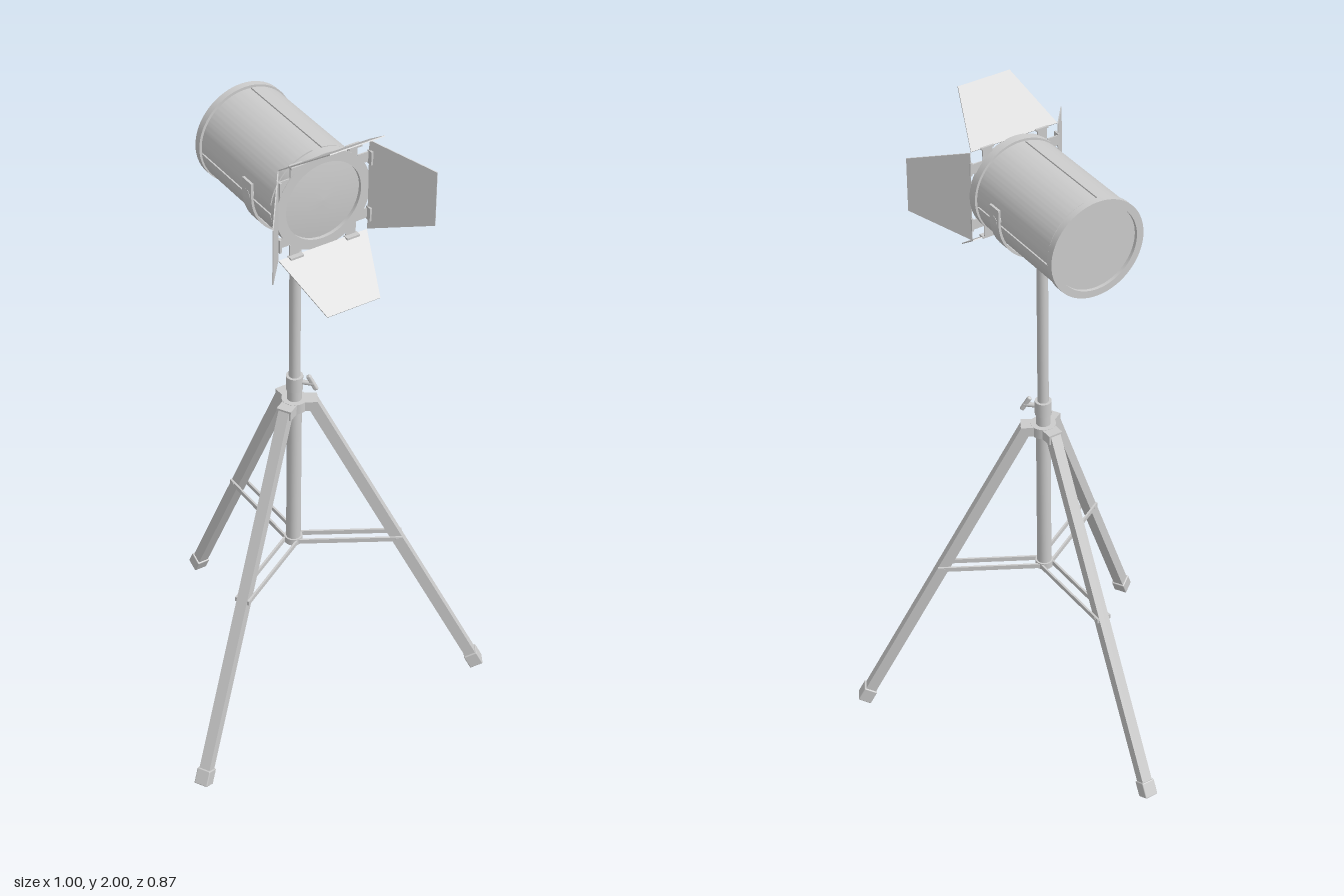
import * as THREE from 'three';
import { toCreasedNormals } from 'three/addons/utils/BufferGeometryUtils.js';
import { RoundedBoxGeometry } from 'three/addons/geometries/RoundedBoxGeometry.js';

const POLE_Z = 0.137;
const LAMP_Y = 1.75;
const grey = new THREE.MeshStandardMaterial({ color: 0xcccccc });
const thin = new THREE.MeshStandardMaterial({ color: 0xcccccc, side: THREE.DoubleSide });

function add(parent, name, geometry, x = 0, y = 0, z = 0, material = grey) {
  const mesh = new THREE.Mesh(geometry, material);
  mesh.name = name;
  mesh.position.set(x, y, z);
  parent.add(mesh);
  return mesh;
}

function group(parent, name, x = 0, y = 0, z = 0) {
  const g = new THREE.Group();
  g.name = name;
  g.position.set(x, y, z);
  parent.add(g);
  return g;
}

const extrude = (shape, depth) => toCreasedNormals(
  new THREE.ExtrudeGeometry(shape, { depth, bevelEnabled: false, curveSegments: 24 }), 0.5);

// Upright cylinder between two heights
function tube(parent, name, radius, y0, y1) {
  add(parent, name, new THREE.CylinderGeometry(radius, radius, y1 - y0, 24), 0, (y0 + y1) / 2, 0);
}

function buildStand(parent) {
  const stand = group(parent, 'stand', 0, 0, POLE_Z);
  tube(stand, 'upperPole', 0.016, 1.0, 1.605);
  tube(stand, 'lowerTube', 0.021, 0.51, 1.06);
  tube(stand, 'clampCollar', 0.024, 1.055, 1.1);
  tube(stand, 'hub', 0.036, 0.99, 1.022);
  tube(stand, 'braceCollar', 0.026, 0.505, 0.525);

  // Thumb screw with a wing lever
  const knob = group(stand, 'thumbScrew', 0, 1.08, 0);
  knob.rotation.y = Math.PI / 4;
  add(knob, 'screw', new THREE.CylinderGeometry(0.007, 0.007, 0.05, 12).rotateX(Math.PI / 2), 0, 0, 0.03);
  const wing = add(knob, 'wing', new RoundedBoxGeometry(0.012, 0.052, 0.014, 2, 0.005), 0, 0.003, 0.05);
  wing.rotation.x = -0.5;

  // Three legs, each with hub lug, rubber foot and a pair of brace bars
  const top = new THREE.Vector2(0.05, 1.008), end = new THREE.Vector2(0.549, 0.0095);
  const length = top.distanceTo(end);
  const tilt = Math.atan2(top.x - end.x, top.y - end.y);
  for (const angle of [Math.PI, Math.PI / 3, -Math.PI / 3]) {
    const side = group(stand, 'legAssembly');
    side.rotation.y = angle;
    add(side, 'hubLug', new THREE.BoxGeometry(0.044, 0.03, 0.058), 0, 1.006, 0.035);
    const leg = group(side, 'leg', 0, end.y, end.x);
    leg.rotation.x = tilt;
    add(leg, 'legBar', new THREE.BoxGeometry(0.032, length - 0.01, 0.032), 0, length / 2 + 0.005, 0);
    add(leg, 'foot', new RoundedBoxGeometry(0.041, 0.048, 0.041, 2, 0.003), 0, 0.024, 0);
    for (const s of [-1, 1]) {
      add(side, 'braceBar', new THREE.BoxGeometry(0.006, 0.014, 0.3), s * 0.019, 0.515, 0.162);
    }
    add(side, 'bracePin', new THREE.CylinderGeometry(0.005, 0.005, 0.046, 10).rotateZ(Math.PI / 2), 0, 0.515, 0.296);
  }
}

function buildHousing(lamp) {
  // Barrel with rims, recessed back plate and domed lens
  const profile = [
    [0, -0.12], [0.124, -0.12], [0.124, -0.13], [0.145, -0.13], [0.145, -0.11],
    [0.137, -0.11], [0.137, 0.243], [0.144, 0.243], [0.144, 0.27], [0.115, 0.27], [0.115, 0.26],
  ].map(([r, z]) => new THREE.Vector2(r, z));
  const barrel = new THREE.LatheGeometry(profile, 64).rotateX(Math.PI / 2);
  add(lamp, 'barrel', toCreasedNormals(barrel, 0.5));
  const lens = [0.115, 0.085, 0.045, 0].map((r) => new THREE.Vector2(r, 0.26 + 0.008 * (1 - (r / 0.115) ** 2)));
  add(lamp, 'lens', new THREE.LatheGeometry(lens, 48).rotateX(Math.PI / 2));

  // Four raised skin panels separated by narrow grooves
  const gap = 0.1;
  for (let i = 0; i < 4; i++) {
    const a = i * Math.PI / 2 + gap, b = (i + 1) * Math.PI / 2 - gap;
    const panel = new THREE.Shape();
    panel.absarc(0, 0, 0.141, a, b, false);
    panel.absarc(0, 0, 0.135, b, a, true);
    add(lamp, 'skinPanel', extrude(panel, 0.34), 0, 0, -0.105);
  }
}

function buildYoke(lamp) {
  // U-shaped strap under the barrel
  const outer = 0.151, inner = 0.144, tip = 0.04;
  const strap = new THREE.Shape();
  strap.moveTo(-outer, tip);
  strap.lineTo(-outer, 0);
  strap.absarc(0, 0, outer, Math.PI, 2 * Math.PI, false);
  strap.lineTo(outer, tip);
  strap.lineTo(inner, tip);
  strap.lineTo(inner, 0);
  strap.absarc(0, 0, inner, 0, Math.PI, true);
  strap.lineTo(-inner, tip);
  const yoke = group(lamp, 'yoke', 0, 0, POLE_Z);
  add(yoke, 'strap', extrude(strap, 0.044), 0, 0, -0.022);
  for (const s of [-1, 1]) {
    add(yoke, 'pivot', new THREE.CylinderGeometry(0.014, 0.014, 0.018, 20).rotateZ(Math.PI / 2), s * 0.143, 0, 0);
  }
}

function buildBarnDoors(lamp) {
  // Four tapered flaps hinged around the front rim
  const rise = 0.11, reach = 0.15, slope = Math.hypot(rise, reach);
  const flap = new THREE.Shape();
  flap.moveTo(-0.137, 0);
  flap.lineTo(0.137, 0);
  flap.lineTo(0.082, slope);
  flap.lineTo(-0.082, slope);
  const flapGeometry = extrude(flap, 0.003);
  for (let i = 0; i < 4; i++) {
    const door = group(lamp, 'barnDoor', 0, 0, 0.268);
    door.rotation.z = i * Math.PI / 2;
    const mesh = add(door, 'flap', flapGeometry, 0, 0.14, 0, thin);
    mesh.rotation.x = Math.atan2(reach, rise);
    for (const s of [-1, 1]) {
      add(door, 'hinge', new THREE.BoxGeometry(0.04, 0.006, 0.018), s * 0.087, 0.139, 0.006);
      add(door, 'hingeTab', new THREE.BoxGeometry(0.03, 0.035, 0.004), s * 0.087, 0.122, -0.001);
    }
  }
}

export function createModel() {
  const model = new THREE.Group();
  model.name = 'studioSpotlight';
  buildStand(model);
  const lamp = group(model, 'lampHead', 0, LAMP_Y, 0);
  buildHousing(lamp);
  buildYoke(lamp);
  buildBarnDoors(lamp);
  return model;
}
